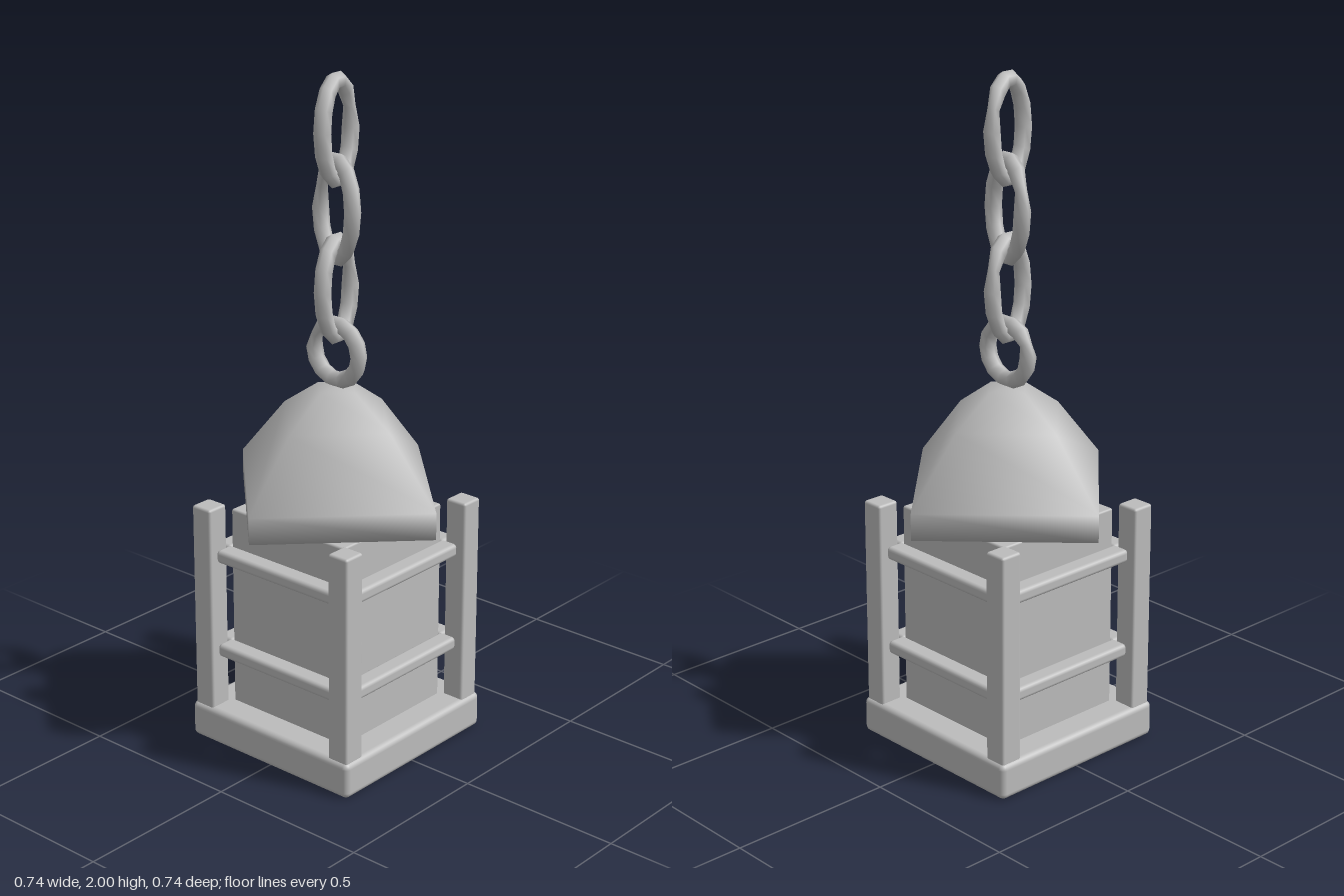
import * as THREE from 'three';
import { RoundedBoxGeometry } from 'three/addons/geometries/RoundedBoxGeometry.js';

const iron = new THREE.MeshStandardMaterial({ color: 0xbcbcbc });
iron.name = 'plain grey';

function add(parent, name, geometry, x = 0, y = 0, z = 0) {
  const mesh = new THREE.Mesh(geometry, iron);
  mesh.name = name;
  mesh.position.set(x, y, z);
  parent.add(mesh);
  return mesh;
}

// Six-sided ring, stretched to an oval, pinched at its welded seam
function linkGeometry(halfWidth, halfHeight, tube) {
  const sides = 6, steps = 14, seam = 6;
  const geo = new THREE.TorusGeometry(1, tube, sides, steps);
  const pos = geo.attributes.position;
  for (let j = 0; j <= sides; j++) {
    for (let i = 0; i <= steps; i++) {
      const k = j * (steps + 1) + i;
      const u = (i / steps) * Math.PI * 2;
      const v = (j / sides) * Math.PI * 2;
      const r = tube * (i === seam ? 0.7 : 1);
      const out = r * Math.cos(v);
      pos.setXYZ(k,
        (halfWidth - tube + out) * Math.cos(u),
        (halfHeight - tube + out) * Math.sin(u),
        r * Math.sin(v));
    }
  }
  return geo;
}

export function createModel() {
  const model = new THREE.Group();
  model.name = 'hangingLantern';

  // Base slab and lamp body
  add(model, 'base', new RoundedBoxGeometry(0.608, 0.11, 0.608, 3, 0.018), 0, 0.055, 0);
  add(model, 'body', new RoundedBoxGeometry(0.43, 0.63, 0.43, 1, 0.006), 0, 0.41, 0);

  // Corner posts
  const postGeo = new RoundedBoxGeometry(0.07, 0.64, 0.07, 2, 0.008);
  for (const x of [-0.26, 0.26]) {
    for (const z of [-0.26, 0.26]) add(model, 'post', postGeo, x, 0.42, z);
  }

  // Two rails on each of the four sides
  const railGeo = new RoundedBoxGeometry(0.45, 0.04, 0.06, 2, 0.012);
  for (let side = 0; side < 4; side++) {
    const rails = new THREE.Group();
    rails.name = 'railPair';
    rails.rotation.y = side * Math.PI / 2;
    for (const y of [0.29, 0.59]) add(rails, 'rail', railGeo, 0, y, 0.242);
    model.add(rails);
  }

  // Four-sided roof, turned a half-quarter against the body
  const profile = [[0, 0.725], [0.37, 0.725], [0.37, 0.805], [0.2, 1.0], [0.07, 1.09], [0, 1.09]]
    .map(([r, y]) => new THREE.Vector2(r, y));
  add(model, 'roof', new THREE.LatheGeometry(profile, 4));

  // Hanging ring and chain of alternating links
  add(model, 'hangingRing', linkGeometry(0.108, 0.108, 0.025), 0, 1.198, 0);
  const chainGeo = linkGeometry(0.084, 0.165, 0.025);
  [1.385, 1.613, 1.838].forEach((y, i) => {
    const link = add(model, 'chainLink', chainGeo, 0, y, 0);
    if (i % 2 === 0) link.rotation.y = -Math.PI / 2;
  });

  return model;
}
